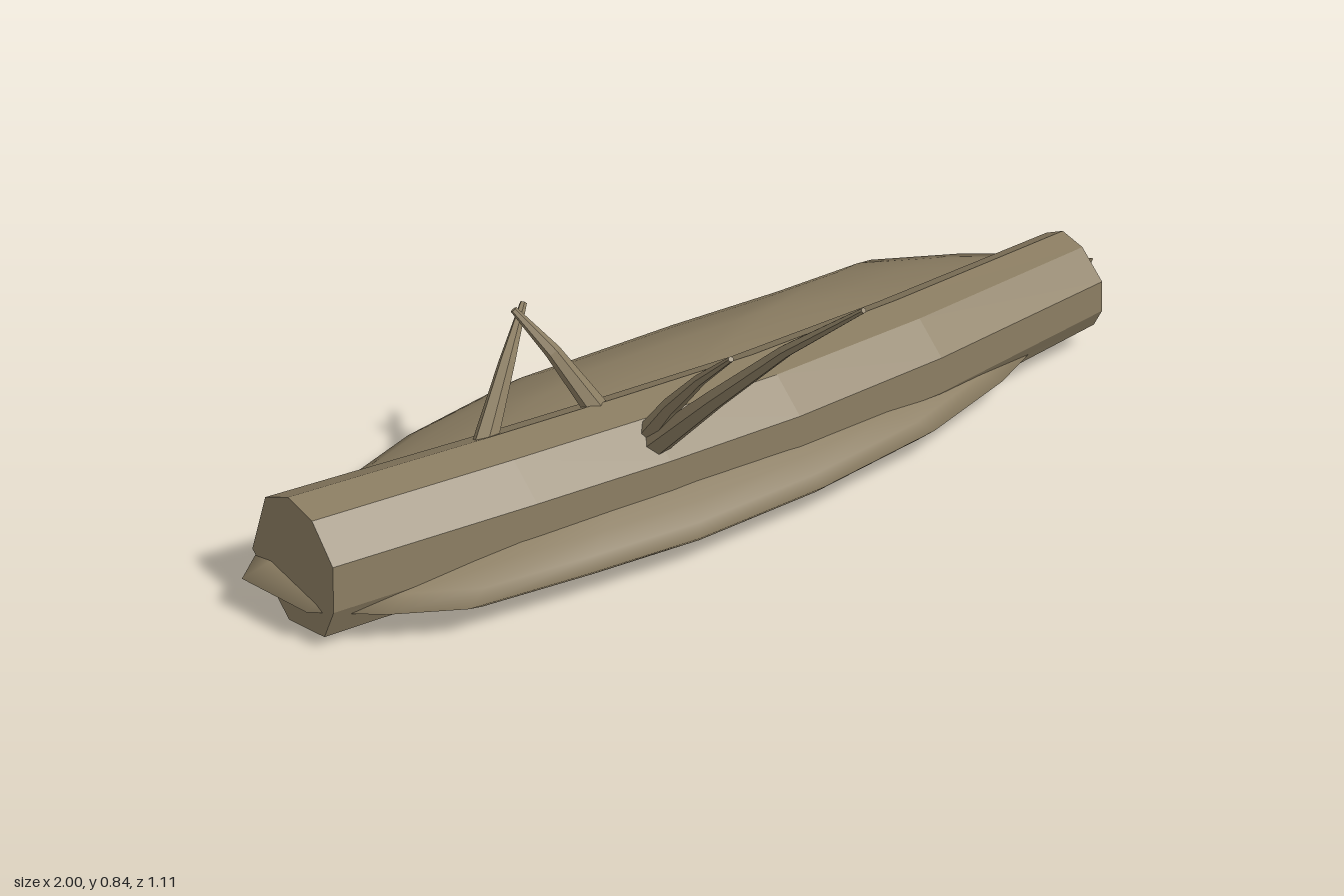
import * as THREE from 'three';
import { mergeVertices } from 'three/addons/utils/BufferGeometryUtils.js';

// Skin a list of rings (each ring turns counter-clockwise about the loft axis)
function loft(rings, smooth) {
  const n = rings[0].length, index = [];
  for (let i = 0; i < rings.length - 1; i++) {
    for (let j = 0; j < n; j++) {
      const k = (j + 1) % n;
      const a = i * n + j, b = i * n + k, c = (i + 1) * n + k, d = (i + 1) * n + j;
      index.push(a, b, c, a, c, d);
    }
  }
  let geo = new THREE.BufferGeometry();
  geo.setAttribute('position', new THREE.Float32BufferAttribute(rings.flat(2), 3));
  geo.setIndex(index);
  geo = smooth ? mergeVertices(geo) : geo.toNonIndexed();
  geo.computeVertexNormals();
  return geo;
}

// Close both ends by collapsing the end rings to their centres
function capped(rings) {
  const flatEnd = (ring) => {
    const c = [0, 1, 2].map((k) => ring.reduce((s, p) => s + p[k], 0) / ring.length);
    return ring.map(() => c);
  };
  return [flatEnd(rings[0]), ...rings, flatEnd(rings[rings.length - 1])];
}

// Slightly curved, tapering log whose uneven eight-sided section changes along its length
function logGeometry() {
  // section offsets [z, y] at the thick and thin ends
  const thick = [
    [0.085, 0.045], [0.087, -0.025], [0.065, -0.075], [-0.02, -0.095],
    [-0.108, -0.033], [-0.077, 0.065], [-0.023, 0.095], [0.035, 0.09],
  ];
  const thin = [
    [0.085, 0.038], [0.085, -0.03], [0.06, -0.075], [-0.04, -0.09],
    [-0.105, 0], [-0.085, 0.065], [-0.035, 0.095], [0.025, 0.088],
  ];
  // stations [x, y, z, scale]
  const stations = [
    [-0.94, 0.147, -0.22, 1.49], [-0.5, 0.152, -0.155, 1.42], [-0.2, 0.154, -0.118, 1.36],
    [0.1, 0.155, -0.092, 1.27], [0.45, 0.153, -0.092, 1.17], [0.875, 0.145, -0.125, 1],
  ];
  const rings = stations.map(([x, y, z, s], i) => {
    const t = i / (stations.length - 1);
    return thick.map(([z0, y0], j) => {
      const dz = THREE.MathUtils.lerp(z0, thin[j][0], t);
      const dy = THREE.MathUtils.lerp(y0, thin[j][1], t);
      return [x + dz * (i === 0 ? -0.1 : 0.05), y + dy * s, z + dz * s];
    });
  });
  return loft(capped(rings), false);
}

// Low, smooth mound with an irregular oval outline and a flat underside
function moundGeometry() {
  const outline = [
    [-0.97, -0.15], [-0.85, -0.05], [-0.71, 0.03], [-0.45, 0.07], [-0.2, 0.1], [0.1, 0.1],
    [0.39, 0.07], [0.6, 0.01], [0.75, -0.06], [0.87, -0.13], [1, -0.23],
    [0.92, -0.31], [0.8, -0.4], [0.65, -0.485], [0.45, -0.5], [0.2, -0.53],
    [-0.17, -0.56], [-0.44, -0.53], [-0.66, -0.47], [-0.89, -0.4], [-1, -0.32],
  ];
  // levels [outline scale, height]
  const levels = [
    [0, 0.07], [0.94, 0.068], [1, 0.088], [0.93, 0.107],
    [0.82, 0.128], [0.66, 0.152], [0.5, 0.172], [0.25, 0.183], [0, 0.186],
  ];
  return loft(levels.map(([s, y]) =>
    outline.map(([x, z]) => [x * s, y, -0.24 + (z + 0.24) * s])), true);
}

// Tapering bare branch through a few points
function branchGeometry(points, r0, r1, sides = 6) {
  const pts = points.map((p) => new THREE.Vector3(...p));
  const axis = pts[pts.length - 1].clone().sub(pts[0]).normalize();
  const u = new THREE.Vector3(0, 1, 0).cross(axis).normalize();
  const v = axis.clone().cross(u);
  const rings = pts.map((p, i) => {
    const r = r0 + (r1 - r0) * i / (pts.length - 1);
    return Array.from({ length: sides }, (_, j) => {
      const a = j / sides * Math.PI * 2;
      return p.clone().addScaledVector(u, Math.cos(a) * r)
        .addScaledVector(v, Math.sin(a) * r).toArray();
    });
  });
  return loft(capped(rings), false);
}

export function createModel() {
  const model = new THREE.Group();
  model.name = 'fallenLog';
  const bark = new THREE.MeshStandardMaterial({ color: 0x8b7d62 });
  bark.name = 'bark';

  const add = (name, geometry) => {
    const mesh = new THREE.Mesh(geometry, bark);
    mesh.name = name;
    model.add(mesh);
  };

  add('log', logGeometry());
  add('mound', moundGeometry());

  // Two branches lean forward, two lean back
  add('longFrontBranch', branchGeometry(
    [[-0.2, 0.235, -0.045], [-0.185, 0.42, 0.125], [-0.165, 0.635, 0.33], [-0.14, 0.837, 0.55]], 0.029, 0.006));
  add('shortFrontBranch', branchGeometry(
    [[-0.2, 0.24, -0.07], [-0.21, 0.36, 0.02], [-0.22, 0.48, 0.125], [-0.233, 0.596, 0.243]], 0.025, 0.006));
  add('rightBackBranch', branchGeometry(
    [[-0.5, 0.255, -0.205], [-0.39, 0.377, -0.275], [-0.3, 0.443, -0.342]], 0.026, 0.007));
  add('leftBackBranch', branchGeometry(
    [[-0.245, 0.255, -0.165], [-0.305, 0.385, -0.24], [-0.348, 0.463, -0.31]], 0.025, 0.007));

  return model;
}
